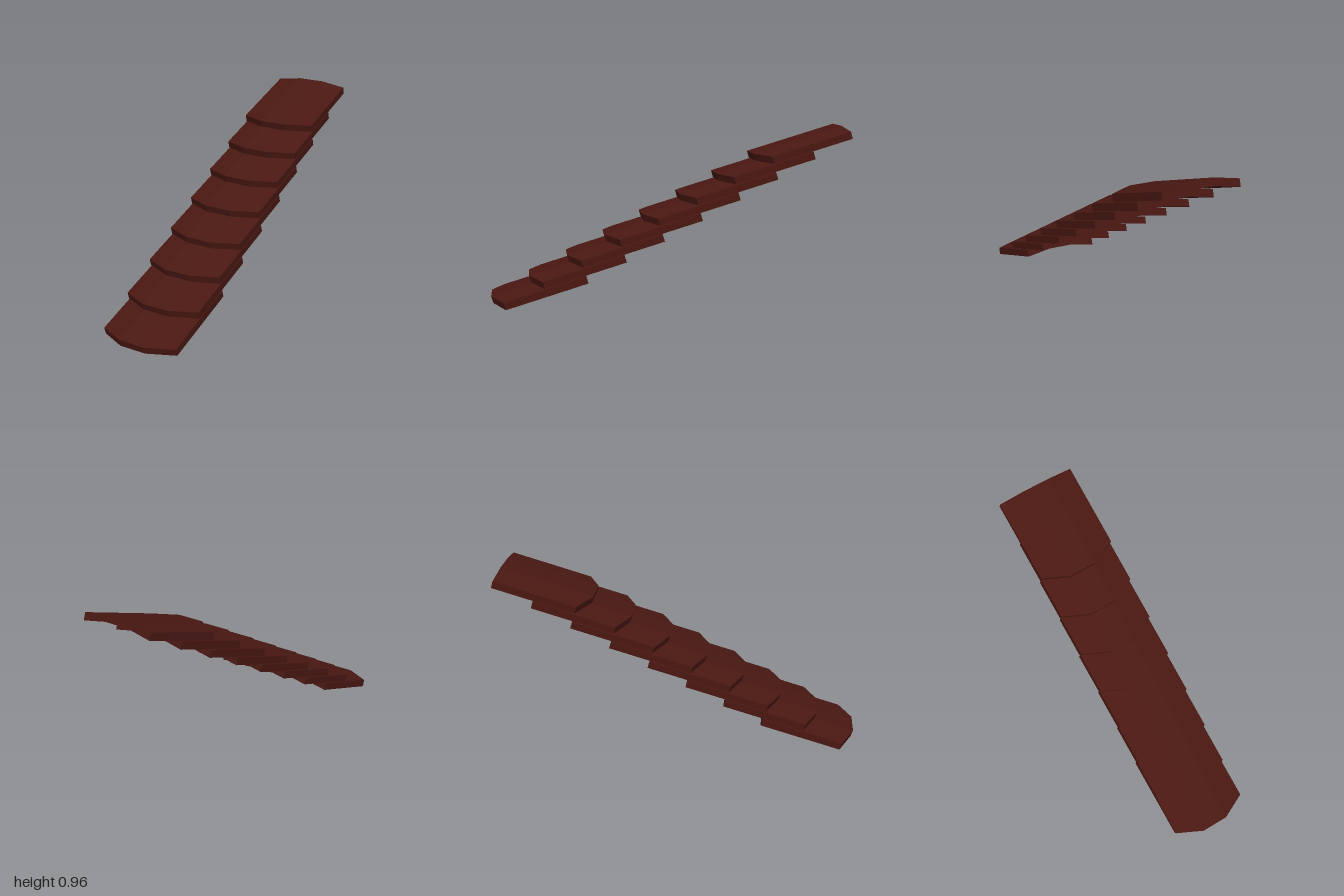
import * as THREE from 'three';

const COUNT = 8;            // overlapping tiles
const LENGTH = 0.532;       // tile length along the slope
const THICK = 0.041;
const DROP = 0.0245;        // how far the side edges sit below the crown
const SETBACK = 0.066;      // how far the front corners are cut back
const PITCH = Math.atan2(0.283, 0.959);

// One faceted tile: origin at the top centre of its front edge, running back along -z
function tileGeometry() {
  const geo = new THREE.BoxGeometry(1, THICK, LENGTH, 3, 1, 1);
  geo.translate(0, -THICK / 2, -LENGTH / 2);
  const p = geo.attributes.position;
  for (let i = 0; i < p.count; i++) {
    const x = p.getX(i);
    const outer = Math.abs(x) > 0.4;
    const front = p.getZ(i) > -0.01;
    p.setX(i, Math.sign(x) * (outer ? 0.222 : 0.077));
    if (outer) p.setY(i, p.getY(i) - DROP);
    if (outer && front) p.setZ(i, p.getZ(i) - SETBACK);
  }
  const flat = geo.toNonIndexed();
  flat.computeVertexNormals();
  return flat;
}

export function createModel() {
  const group = new THREE.Group();
  group.name = 'roofTileRow';
  const material = new THREE.MeshStandardMaterial({ color: 0x4a1812, flatShading: true });
  const geometry = tileGeometry();

  // Each tile laps over the one below it
  for (let i = 0; i < COUNT; i++) {
    const tile = new THREE.Mesh(geometry, material);
    tile.name = `tile${i + 1}`;
    tile.position.set(0, 0.0442 + i * 0.1098, 1 - i * 0.2102);
    tile.rotation.x = PITCH;
    group.add(tile);
  }
  return group;
}
